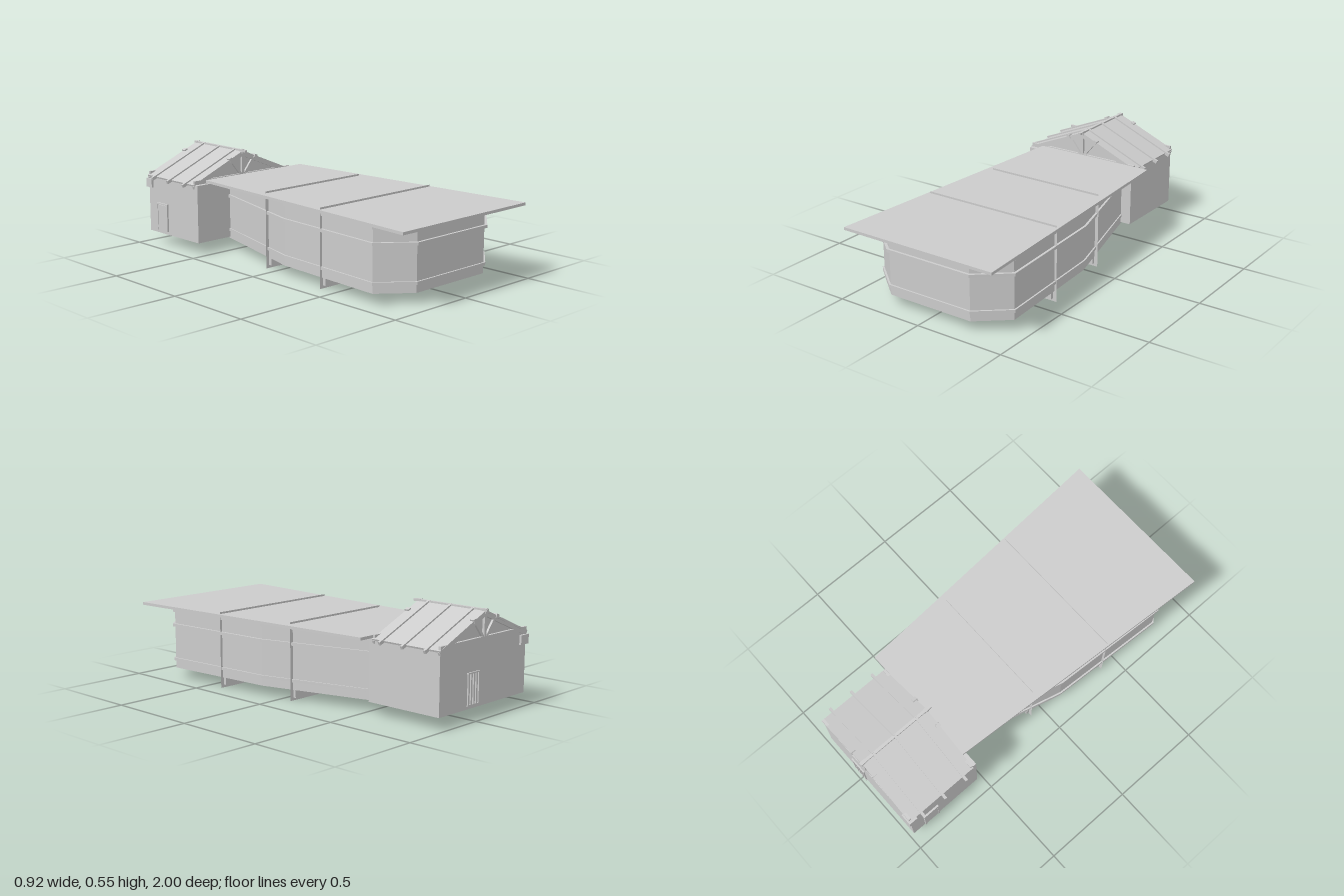
import * as THREE from 'three';

const grey = new THREE.MeshStandardMaterial({ color: 0xcccccc, flatShading: true });
const sheet = new THREE.MeshStandardMaterial({ color: 0xcccccc, flatShading: true, side: THREE.DoubleSide });

export function createModel() {
  const model = new THREE.Group();

  const add = (name, geometry, parent = model, material = grey) => {
    const mesh = new THREE.Mesh(geometry, material);
    mesh.name = name;
    parent.add(mesh);
    return mesh;
  };
  const group = (name) => {
    const g = new THREE.Group();
    g.name = name;
    model.add(g);
    return g;
  };
  const box = (name, w, h, d, x, y, z, parent) => {
    const mesh = add(name, new THREE.BoxGeometry(w, h, d), parent);
    mesh.position.set(x, y, z);
    return mesh;
  };

  // Upright prism from one half of a plan outline [x, z], mirrored in x
  const prism = (name, half, y0, y1, parent) => {
    const outline = [
      ...half.map(([x, z]) => new THREE.Vector2(x, -z)),
      ...half.slice().reverse().map(([x, z]) => new THREE.Vector2(-x, -z)),
    ];
    const geo = new THREE.ExtrudeGeometry(new THREE.Shape(outline), { depth: y1 - y0, bevelEnabled: false });
    geo.rotateX(-Math.PI / 2).translate(0, y0, 0);
    return add(name, geo, parent);
  };

  // Long hall with chamfered front, narrowing towards the back
  prism('hallBody', [[0.25, 0.905], [0.413, 0.77], [0.375, 0.11], [0.2, -0.55]], 0.057, 0.392);

  // Bands round the hall
  const bands = group('hallBands');
  for (const [y, o] of [[0.107, 0.009], [0.301, 0.013], [0.383, 0.01]]) {
    prism('band', [[0.25 + o / 2, 0.905 + o], [0.413 + o, 0.77 + o / 2], [0.375 + o, 0.11], [0.2 + o, -0.54]],
      y - 0.008, y + 0.008, bands);
  }

  // Flat tapering roof
  prism('hallRoof', [[0.455, 1], [0.352, -0.56]], 0.391, 0.406);

  // Thin cross frames with feet
  for (const [z, half] of [[0.403, 0.405], [-0.07, 0.346]]) {
    const frame = group('crossFrame');
    const plate = add('framePlate', new THREE.PlaneGeometry(half * 2, 0.416), frame, sheet);
    plate.position.set(0, 0.208, z);
    for (const s of [-1, 1]) box('foot', 0.066, 0.044, 0.036, s * (half - 0.053), 0.038, z, frame);
  }

  // Gabled house at the back
  const house = group('house');
  const cx = -0.083, slope = 0.42, angle = Math.atan(slope), ridge = 0.527;
  const roofY = (d) => ridge - slope * Math.abs(d);
  box('houseWalls', 0.694, 0.322, 0.442, cx, 0.226, -0.759, house);

  const gable = new THREE.Shape();
  gable.moveTo(-0.347, 0.385);
  gable.lineTo(0.347, 0.385);
  gable.lineTo(0, ridge);
  const gableGeo = new THREE.ExtrudeGeometry(gable, { depth: 0.395, bevelEnabled: false });
  gableGeo.translate(cx, 0, -0.97);
  add('gable', gableGeo, house);

  // A member lying along one roof slope, from the ridge to distance d
  const rafter = (name, s, d, thick, depth, lift, z) => {
    const m = box(name, d / Math.cos(angle), thick, depth, cx + s * d / 2, roofY(d / 2) + lift, z, house);
    m.rotation.z = -s * angle;
  };
  for (const s of [-1, 1]) {
    rafter('roofSlope', s, 0.352, 0.01, 0.424, 0.005, -0.774);
    for (const z of [-0.63, -0.77, -0.91]) rafter('roofBatten', s, 0.378, 0.018, 0.014, 0.009, z);
  }

  // Trusses on both gable ends
  for (const z of [-0.569, -0.977]) {
    box('tieBeam', 0.694, 0.022, 0.014, cx, 0.398, z, house);
    box('kingPost', 0.018, 0.13, 0.014, cx, 0.465, z, house);
    for (const s of [-1, 1]) {
      rafter('trussRafter', s, 0.35, 0.018, 0.014, -0.009, z);
      const strut = box('strut', 0.014, 0.114, 0.012, cx + s * 0.045, 0.445, z, house);
      strut.rotation.z = -s * 0.68;
    }
    // Purlin stubs
    for (const s of [-1, 0, 1]) {
      const stub = box('purlinEnd', 0.02, 0.022, 0.026, cx + s * 0.09, roofY(s * 0.09) + 0.007, z, house);
      stub.rotation.z = -s * angle;
    }
  }
  box('ridgeBeam', 0.016, 0.012, 0.46, cx, ridge + 0.01, -0.765, house);

  // Side door with surround
  const door = group('sideDoor');
  const doorX = -0.433;
  box('doorLeaf', 0.008, 0.145, 0.08, doorX, 0.157, -0.855, door);
  for (const s of [-1, 1]) box('doorJamb', 0.014, 0.155, 0.008, doorX, 0.16, -0.855 + s * 0.044, door);
  box('doorLintel', 0.014, 0.008, 0.096, doorX, 0.237, -0.855, door);

  // Barred window in the back wall
  const grille = group('backGrille');
  for (let i = 0; i < 5; i++) box('grilleBar', 0.009, 0.16, 0.01, -0.04 + i * 0.021, 0.163, -0.982, grille);
  for (const y of [0.083, 0.243]) box('grilleRail', 0.1, 0.007, 0.01, 0.002, y, -0.982, grille);

  // Box on the back corner under the eaves
  box('cornerBox', 0.065, 0.05, 0.05, -0.41, 0.345, -0.967, house);

  return model;
}
